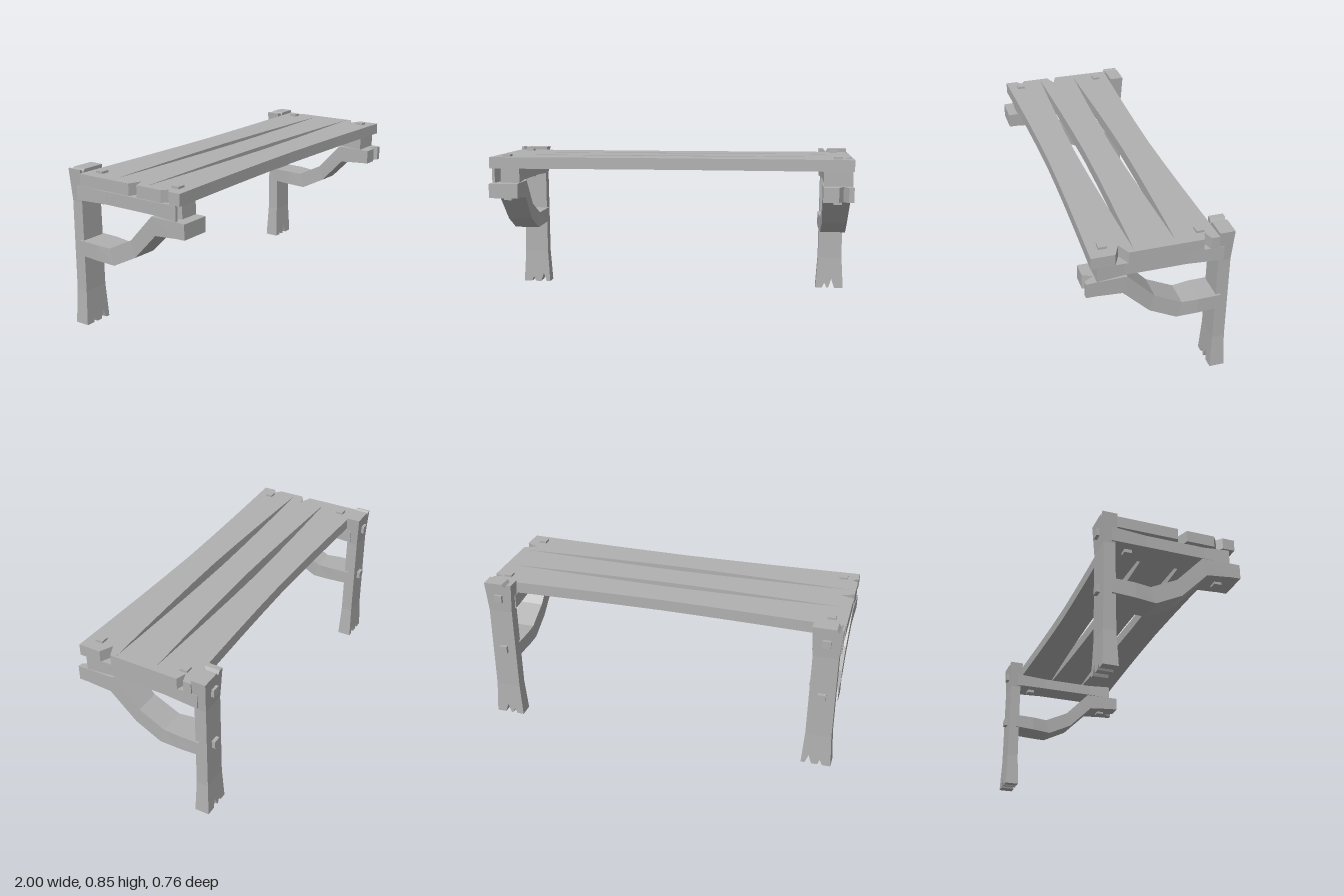
import * as THREE from 'three';

const wood = new THREE.MeshStandardMaterial({ color: 0xb0b0b0 });
wood.name = 'greyWood';

const X = new THREE.Vector3(1, 0, 0);
const Y = new THREE.Vector3(0, 1, 0);
const Z = new THREE.Vector3(0, 0, 1);
const ALONG_X = new THREE.Matrix4().makeBasis(Z, X, Y);
const ALONG_Z = new THREE.Matrix4().makeBasis(X, Z, Y.clone().negate());

function add(parent, name, geometry, x = 0, y = 0, z = 0) {
  const mesh = new THREE.Mesh(geometry, wood);
  mesh.name = name;
  mesh.position.set(x, y, z);
  parent.add(mesh);
}

// Board along y. rows: [position, half width]; d0, d1: thickness at each end;
// notches: [offset across, half width, depth] cut into the start and end.
function slab(rows, d0, d1, startNotches = [], endNotches = []) {
  const [t0, w0] = rows[0];
  const [t1, w1] = rows[rows.length - 1];
  const pts = [[-w0, t0]];
  for (const [o, h, d] of startNotches) pts.push([o - h, t0], [o, t0 + d], [o + h, t0]);
  for (const [t, w] of rows) pts.push([w, t]);
  for (const [o, h, d] of [...endNotches].reverse()) pts.push([o + h, t1], [o, t1 - d], [o - h, t1]);
  pts.push([-w1, t1]);
  for (const [t, w] of rows.slice(1, -1).reverse()) pts.push([-w, t]);
  const shape = new THREE.Shape(pts.map(p => new THREE.Vector2(...p)));
  const g = new THREE.ExtrudeGeometry(shape, { depth: 1, bevelEnabled: false });
  g.translate(0, 0, -0.5);
  const p = g.attributes.position;
  for (let i = 0; i < p.count; i++) {
    const k = (p.getY(i) - t0) / (t1 - t0);
    p.setZ(i, p.getZ(i) * THREE.MathUtils.lerp(d0, d1, k));
  }
  g.computeVertexNormals();
  return g;
}

// Hewn timber with flared ends, in straight pieces. rows: [position, half width, thickness]
function timber(parent, name, rows, startNotches, endNotches, matrix, x, y, z) {
  const group = new THREE.Group();
  group.name = name;
  for (let i = 0; i + 1 < rows.length; i++) {
    const g = slab([rows[i], rows[i + 1]], rows[i][2], rows[i + 1][2],
      i === 0 ? startNotches : [], i === rows.length - 2 ? endNotches : []);
    if (matrix) g.applyMatrix4(matrix);
    add(group, name + 'Piece', g, x, y, z);
  }
  parent.add(group);
}

// Bent brace from rectangular sections, front to back: [half width, top z, top y, bottom z, bottom y]
function braceGeometry() {
  const rings = [
    [0.08, 0.32, 0.69, 0.32, 0.606],
    [0.076, 0.175, 0.69, 0.197, 0.595],
    [0.07, 0.03, 0.537, 0.055, 0.45],
    [0.072, -0.115, 0.465, -0.088, 0.378],
    [0.08, -0.2, 0.47, -0.2, 0.385],
    [0.08, -0.32, 0.472, -0.32, 0.392],
  ].map(([w, tz, ty, bz, by]) => [[-w, ty, tz], [w, ty, tz], [w, by, bz], [-w, by, bz]]);
  const v = [];
  for (let i = 0; i + 1 < rings.length; i++) {
    for (let j = 0; j < 4; j++) {
      const k = (j + 1) % 4;
      const a = rings[i][j], b = rings[i][k], c = rings[i + 1][k], d = rings[i + 1][j];
      v.push(...a, ...b, ...c, ...a, ...c, ...d);
    }
  }
  const g = new THREE.BufferGeometry();
  g.setAttribute('position', new THREE.Float32BufferAttribute(v, 3));
  g.computeVertexNormals();
  return g;
}

export function createModel() {
  const model = new THREE.Group();
  model.name = 'bench';

  // Seat planks, narrowing towards the middle, with split ends
  const planks = [
    { name: 'backPlank', z: -0.182, start: [], end: [[-0.048, 0.018, 0.055]] },
    { name: 'middlePlank', z: 0.033, start: [[0.032, 0.026, 0.07]], end: [] },
    { name: 'frontPlank', z: 0.25, start: [[0.018, 0.025, 0.03]], end: [[-0.046, 0.033, 0.07]] },
  ];
  const rows = [-1, -0.75, -0.5, -0.25, 0, 0.25, 0.5, 0.75, 1].map(x => [x, 0.083 + 0.026 * Math.abs(x) ** 1.5]);
  for (const { name, z, start, end } of planks) {
    add(model, name, slab(rows, 0.063, 0.063, start, end).applyMatrix4(ALONG_X), 0, 0.8035, z);
  }

  // Supports at each end
  for (const side of [-1, 1]) {
    const support = new THREE.Group();
    support.name = side > 0 ? 'leftSupport' : 'rightSupport';
    support.position.x = side * 0.917;
    model.add(support);

    // Post with ragged foot and split top
    timber(support, 'post',
      [[0, 0.083, 0.08], [0.19, 0.071, 0.066], [0.68, 0.068, 0.064], [0.852, 0.081, 0.08]],
      side < 0 ? [[-0.022, 0.013, 0.03], [0.042, 0.018, 0.05]] : [[-0.03, 0.014, 0.03], [0.012, 0.018, 0.055]],
      side < 0 ? [[-0.058, 0.012, 0.02]] : [[-0.04, 0.014, 0.022]],
      null, 0, 0, -0.33);

    // Seat beam
    timber(support, 'seatBeam',
      [[-0.32, 0.078, 0.08], [-0.13, 0.069, 0.067], [0.19, 0.069, 0.067], [0.328, 0.078, 0.08]],
      [], side < 0 ? [[-0.045, 0.018, 0.05]] : [], ALONG_Z, 0, 0.73, 0);

    // Bent brace and its front end
    add(support, 'brace', braceGeometry());
    const end = slab([[0.32, 0.08], [0.383, 0.082]], 0.084, 0.08, [], side > 0 ? [[0.028, 0.026, 0.05]] : []);
    add(support, 'braceEnd', end.applyMatrix4(ALONG_Z), 0, 0.649, 0);

    // Square pegs
    const peg = new THREE.BoxGeometry(0.044, 0.03, 0.042);
    for (const [y, z] of [[0.832, 0.283], [0.832, -0.212], [0.604, 0.283], [0.69, -0.212]]) {
      add(support, 'seatPeg', peg, 0, y, z);
    }
    const postPeg = new THREE.BoxGeometry(0.044, 0.043, 0.03);
    for (const y of [0.764, 0.437]) add(support, 'postPeg', postPeg, 0, y, -0.367);
  }
  return model;
}
